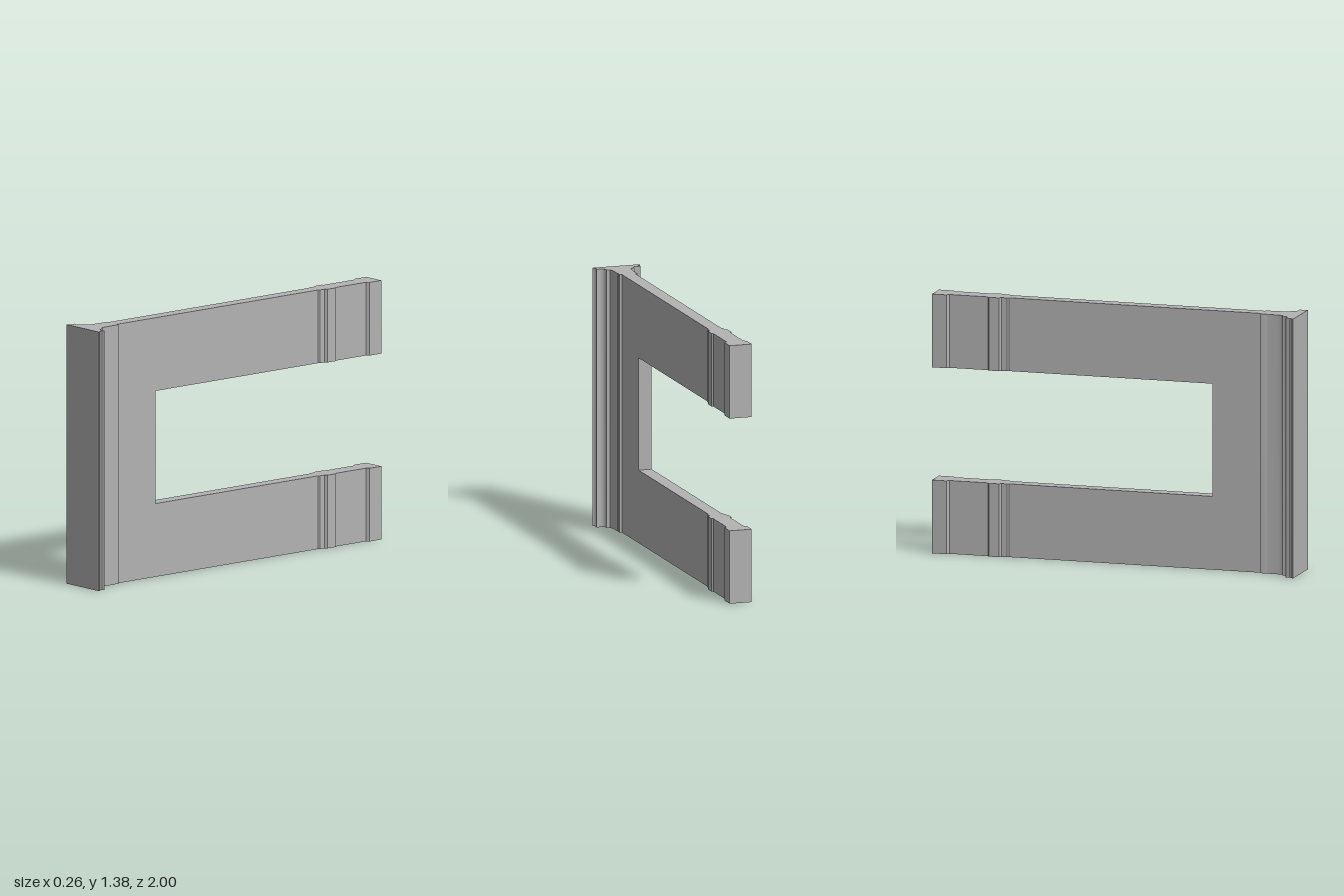
import * as THREE from 'three';
import { toCreasedNormals } from 'three/addons/utils/BufferGeometryUtils.js';

const HEIGHT = 1.38;
const ARM_LOW_TOP = 0.39;   // top of the lower arm
const ARM_HIGH_BASE = 0.99; // underside of the upper arm
const SPLIT = 0.53;         // z where the arms meet the upright web

// Mirrored plan outline from [halfWidth, z] pairs, extruded upwards
function extrudePlan(half, y0, y1) {
  const right = half.map(([x, z]) => new THREE.Vector2(x, -z));
  const left = half.map(([x, z]) => new THREE.Vector2(-x, -z)).reverse();
  const shape = new THREE.Shape([...right, ...left]);
  const geo = new THREE.ExtrudeGeometry(shape, { depth: y1 - y0, bevelEnabled: false });
  geo.rotateX(-Math.PI / 2);
  geo.translate(0, y0, 0);
  return toCreasedNormals(geo, 0.5);
}

// Points along a quadratic curve between two profile points
function sweep(a, c, b, n = 8) {
  return new THREE.QuadraticBezierCurve(
    new THREE.Vector2(...a), new THREE.Vector2(...c), new THREE.Vector2(...b)
  ).getPoints(n).map((p) => [p.x, p.y]);
}

export function createModel() {
  const model = new THREE.Group();
  const grey = new THREE.MeshStandardMaterial({ color: 0xb3b3b3 });
  grey.name = 'plain grey';

  const add = (name, half, y0, y1) => {
    const mesh = new THREE.Mesh(extrudePlan(half, y0, y1), grey);
    mesh.name = name;
    model.add(mesh);
  };

  // Arm plan: end block, neck, raised band, small fillet, plain web
  const arm = [
    [0.061, -1], [0.061, -0.92], [0.046, -0.908],
    [0.046, -0.698], [0.055, -0.69], [0.055, -0.635],
    [0.043, -0.625], [0.043, -0.594], [0.036, -0.585],
    [0.036, SPLIT],
  ];
  add('lowerArm', arm, 0, ARM_LOW_TOP);
  add('upperArm', arm, ARM_HIGH_BASE, HEIGHT);

  // Upright plan: web, fillet, hollow, stepped moulding, face plate
  const upright = [
    [0.036, SPLIT], [0.036, 0.795], [0.049, 0.797], [0.049, 0.81],
    [0.045, 0.83],
    ...sweep([0.049, 0.832], [0.048, 0.915], [0.058, 0.922]),
    [0.076, 0.925], [0.076, 0.94],
    ...sweep([0.08, 0.948], [0.095, 0.962], [0.106, 0.957]),
    [0.121, 0.955], [0.121, 0.965],
    ...sweep([0.114, 0.972], [0.118, 0.988], [0.13, 0.993]),
    [0.13, 1],
  ];
  add('mouldedUpright', upright, 0, HEIGHT);

  return model;
}
